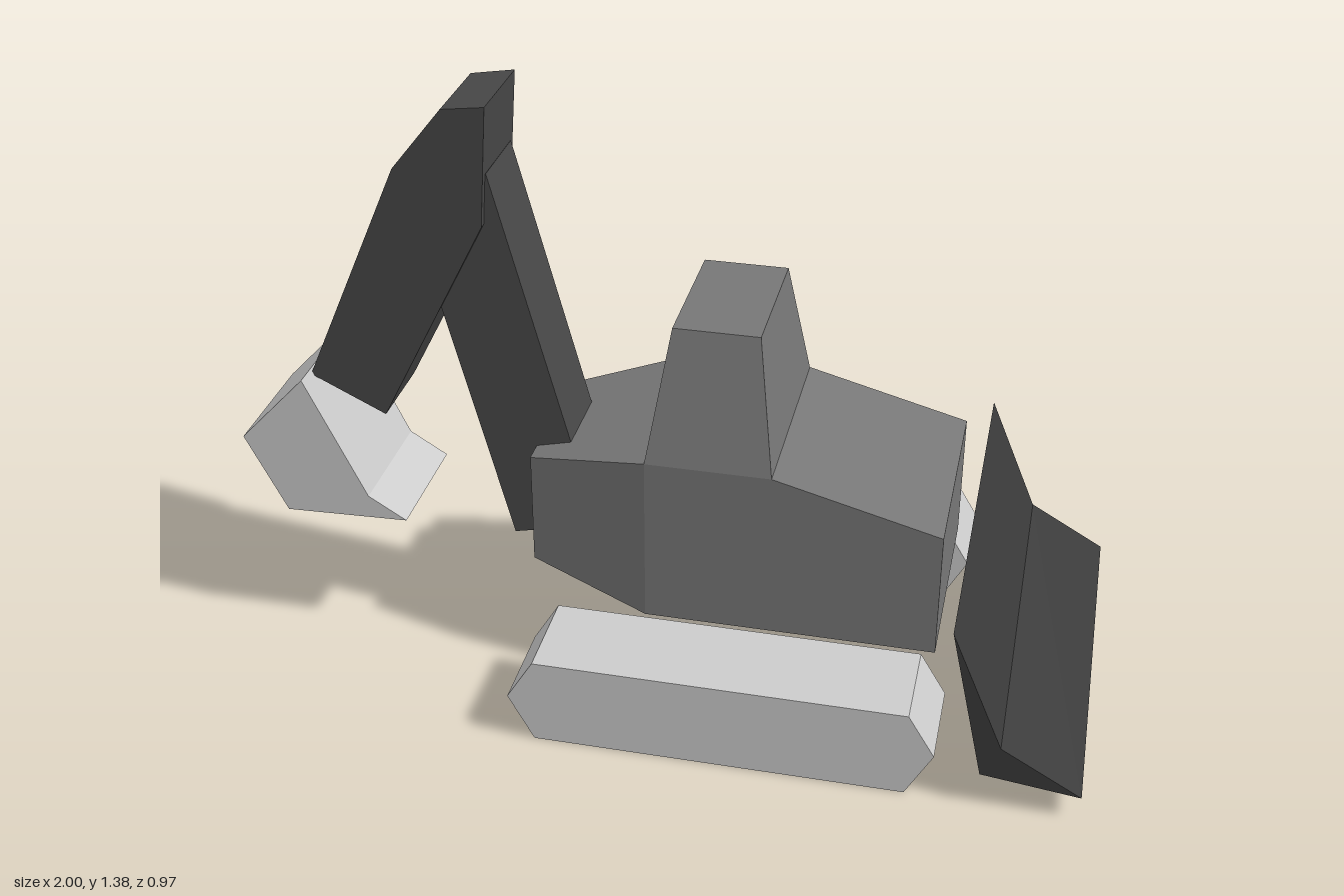
import * as THREE from 'three';

const paint = (color) => new THREE.MeshStandardMaterial({ color, flatShading: true });
const lightGrey = paint(0xcccccc);
const bodyGrey = paint(0x777777);
const darkGrey = paint(0x484848);
const bladeGrey = paint(0x3a3a3a);

// Side profile in x/y, extruded from z0 to z1
function profile(name, points, z0, z1, material) {
  const shape = new THREE.Shape(points.map(([x, y]) => new THREE.Vector2(x, y)));
  const geometry = new THREE.ExtrudeGeometry(shape, { depth: z1 - z0, bevelEnabled: false });
  geometry.translate(0, 0, z0);
  const mesh = new THREE.Mesh(geometry, material);
  mesh.name = name;
  return mesh;
}

// Skin over four-cornered rings, each running counter-clockwise seen from the last ring's side
function loft(name, rings, material, capStart = true) {
  const index = [];
  const quad = (a, b, c, d) => index.push(a, b, c, a, c, d);
  for (let r = 0; r < rings.length - 1; r++) {
    for (let i = 0; i < 4; i++) {
      const a = r * 4 + i, b = r * 4 + (i + 1) % 4;
      quad(a, b, b + 4, a + 4);
    }
  }
  if (capStart) quad(3, 2, 1, 0);
  const e = (rings.length - 1) * 4;
  quad(e, e + 1, e + 2, e + 3);
  const indexed = new THREE.BufferGeometry();
  indexed.setAttribute('position', new THREE.Float32BufferAttribute(rings.flat(2), 3));
  indexed.setIndex(index);
  const geometry = indexed.toNonIndexed();
  geometry.computeVertexNormals();
  const mesh = new THREE.Mesh(geometry, material);
  mesh.name = name;
  return mesh;
}

export function createModel() {
  const model = new THREE.Group();
  model.name = 'excavator';

  // Crawler tracks
  const trackOutline = [[-0.28, 0.11], [-0.22, 0], [0.62, 0], [0.68, 0.11], [0.62, 0.21], [-0.22, 0.21]];
  model.add(profile('frontTrack', trackOutline, 0.26, 0.485, lightGrey));
  model.add(profile('rearTrack', trackOutline, -0.485, -0.26, lightGrey));

  // Hull: sections along x, narrowing at the nose
  const section = (x, y0, y1, w) => [[x, y0, w], [x, y0, -w], [x, y1, -w], [x, y1, w]];
  model.add(loft('body', [
    section(-0.30, 0.275, 0.55, 0.175),
    section(-0.015, 0.215, 0.62, 0.255),
    section(0.27, 0.215, 0.62, 0.255),
    section(0.65, 0.215, 0.52, 0.255),
  ], bodyGrey));

  // Cab: tapering upwards, open where it sits on the hull
  const level = (y, x0, x1, w) => [[x0, y, w], [x1, y, w], [x1, y, -w], [x0, y, -w]];
  model.add(loft('cab', [
    level(0.62, -0.015, 0.27, 0.255),
    level(0.92, 0.03, 0.225, 0.17),
  ], bodyGrey, false));

  // Boom, rising out of the nose
  model.add(profile('boom',
    [[-0.36, 0.305], [-0.16, 0.35], [-0.39, 1.22], [-0.56, 1.08]], -0.065, 0.122, darkGrey));

  // Stick, slightly wider towards its top
  const stick = profile('stick',
    [[-0.84, 0.67], [-0.66, 0.59], [-0.40, 1.10], [-0.38, 1.38], [-0.48, 1.365], [-0.60, 1.215]],
    -0.5, 0.5, darkGrey);
  const p = stick.geometry.attributes.position;
  for (let i = 0; i < p.count; i++) {
    const width = 0.18 + 0.045 * (p.getX(i) + 0.84) / 0.46;
    p.setZ(i, 0.028 + p.getZ(i) * width);
  }
  stick.geometry.computeVertexNormals();
  model.add(stick);

  // Digging bucket
  model.add(profile('bucket',
    [[-1, 0.515], [-0.905, 0.325], [-0.61, 0.335], [-0.70, 0.39], [-0.84, 0.685]],
    -0.125, 0.178, lightGrey));

  // Dozer blade
  model.add(profile('blade',
    [[0.70, 0.445], [0.78, 0.083], [1, 0.057], [0.82, 0.16]], -0.487, 0.487, bladeGrey));

  return model;
}
